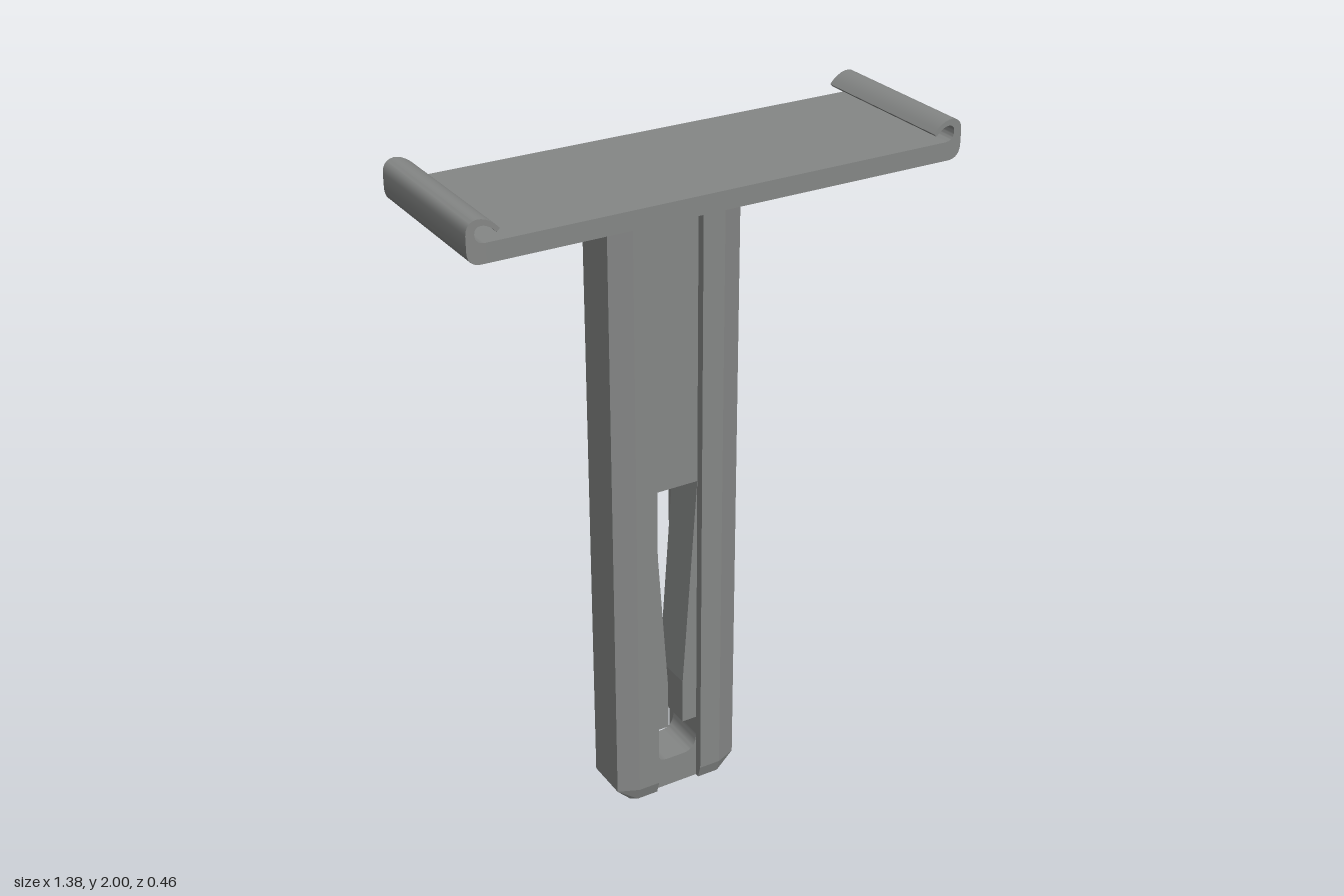
import * as THREE from 'three';
import { toCreasedNormals } from 'three/addons/utils/BufferGeometryUtils.js';
import { ConvexGeometry } from 'three/addons/geometries/ConvexGeometry.js';

const PLATE_BOTTOM = 1.89, PLATE_TOP = 1.94, HALF_DEPTH = 0.23;
const GROOVE = 0.07, RIB = 0.135, SIDE = 0.195;   // half widths of the stem
const BACK = -0.18, WEB_FRONT = -0.025, WEB_BACK = -0.155;

export function createModel() {
  const group = new THREE.Group();
  const grey = new THREE.MeshStandardMaterial({ color: 0x858786 });
  grey.name = 'grey plastic';

  const add = (name, geometry) => {
    const mesh = new THREE.Mesh(geometry, grey);
    mesh.name = name;
    group.add(mesh);
  };
  // Solid spanned by its corner points
  const hull = (points) => new ConvexGeometry(points.map((p) => new THREE.Vector3(...p)));
  // Outline in x and y, extruded from z0 to z1
  const slab = (shape, z0, z1) =>
    new THREE.ExtrudeGeometry(shape, { depth: z1 - z0, bevelEnabled: false, curveSegments: 10 }).translate(0, 0, z0);
  const polygon = (points) => new THREE.Shape(points.map(([x, y]) => new THREE.Vector2(x, y)));

  // Top plate
  add('topPlate', new THREE.BoxGeometry(1.28, PLATE_TOP - PLATE_BOTTOM, 2 * HALF_DEPTH)
    .translate(0, (PLATE_TOP + PLATE_BOTTOM) / 2, 0));

  for (const s of [1, -1]) {
    const side = s > 0 ? 'left' : 'right';

    // Curled lip at the end of the plate
    const lip = new THREE.Shape();
    lip.moveTo(s * 0.64, 1.89);
    lip.lineTo(s * 0.652, 1.89);
    lip.quadraticCurveTo(s * 0.69, 1.89, s * 0.69, 1.928);
    lip.lineTo(s * 0.69, 1.965);
    lip.bezierCurveTo(s * 0.69, 2.008, s * 0.64, 2.012, s * 0.604, 1.968);
    lip.lineTo(s * 0.613, 1.96);
    lip.bezierCurveTo(s * 0.635, 1.988, s * 0.668, 1.99, s * 0.668, 1.965);
    lip.quadraticCurveTo(s * 0.668, 1.94, s * 0.64, 1.94);
    add(side + 'Lip', toCreasedNormals(slab(lip, -HALF_DEPTH, HALF_DEPTH), 0.6));

    // Stem rail with chamfered corners and a tapered foot
    const section = [[GROOVE, 0], [RIB, 0], [SIDE, WEB_FRONT], [SIDE, WEB_BACK], [RIB, BACK], [GROOVE, BACK]];
    const rail = [];
    for (const [x, z] of section) {
      rail.push([s * x, PLATE_BOTTOM, z], [s * x, 0.04, z]);
      rail.push([s * Math.min(x, 0.155), 0, THREE.MathUtils.clamp(z, BACK + 0.012, -0.012)]);
    }
    add(side + 'Rail', hull(rail));

    // Brace under the plate at the side of the stem
    add(side + 'SideBrace', slab(
      polygon([[s * SIDE, 1.79], [s * 0.37, PLATE_BOTTOM], [s * SIDE, PLATE_BOTTOM]]), WEB_BACK, WEB_FRONT));

    // Brace under the plate in front of the rail
    add(side + 'FrontBrace', hull([GROOVE, RIB].flatMap((x) =>
      [[s * x, 1.79, 0], [s * x, PLATE_BOTTOM, 0], [s * x, PLATE_BOTTOM, 0.1]])));

    // Wedge that narrows the slot
    add(side + 'SlotWedge', slab(
      polygon([[s * GROOVE, 1], [s * 0.024, 0.35], [s * 0.024, 0.21], [s * GROOVE, 0.21]]), WEB_BACK, WEB_FRONT));
  }

  // Recessed web above the slot
  add('upperWeb', slab(
    polygon([[-GROOVE, 1], [GROOVE, 1], [GROOVE, PLATE_BOTTOM], [-GROOVE, PLATE_BOTTOM]]), WEB_BACK, WEB_FRONT));

  // Web below the slot, with a rounded pocket
  const foot = new THREE.Shape();
  foot.moveTo(-GROOVE, 0);
  foot.lineTo(GROOVE, 0);
  foot.lineTo(GROOVE, 0.15);
  foot.quadraticCurveTo(GROOVE, 0.095, 0.025, 0.095);
  foot.lineTo(-0.025, 0.095);
  foot.quadraticCurveTo(-GROOVE, 0.095, -GROOVE, 0.15);
  add('lowerWeb', toCreasedNormals(slab(foot, WEB_BACK, WEB_FRONT), 0.6));

  return group;
}
